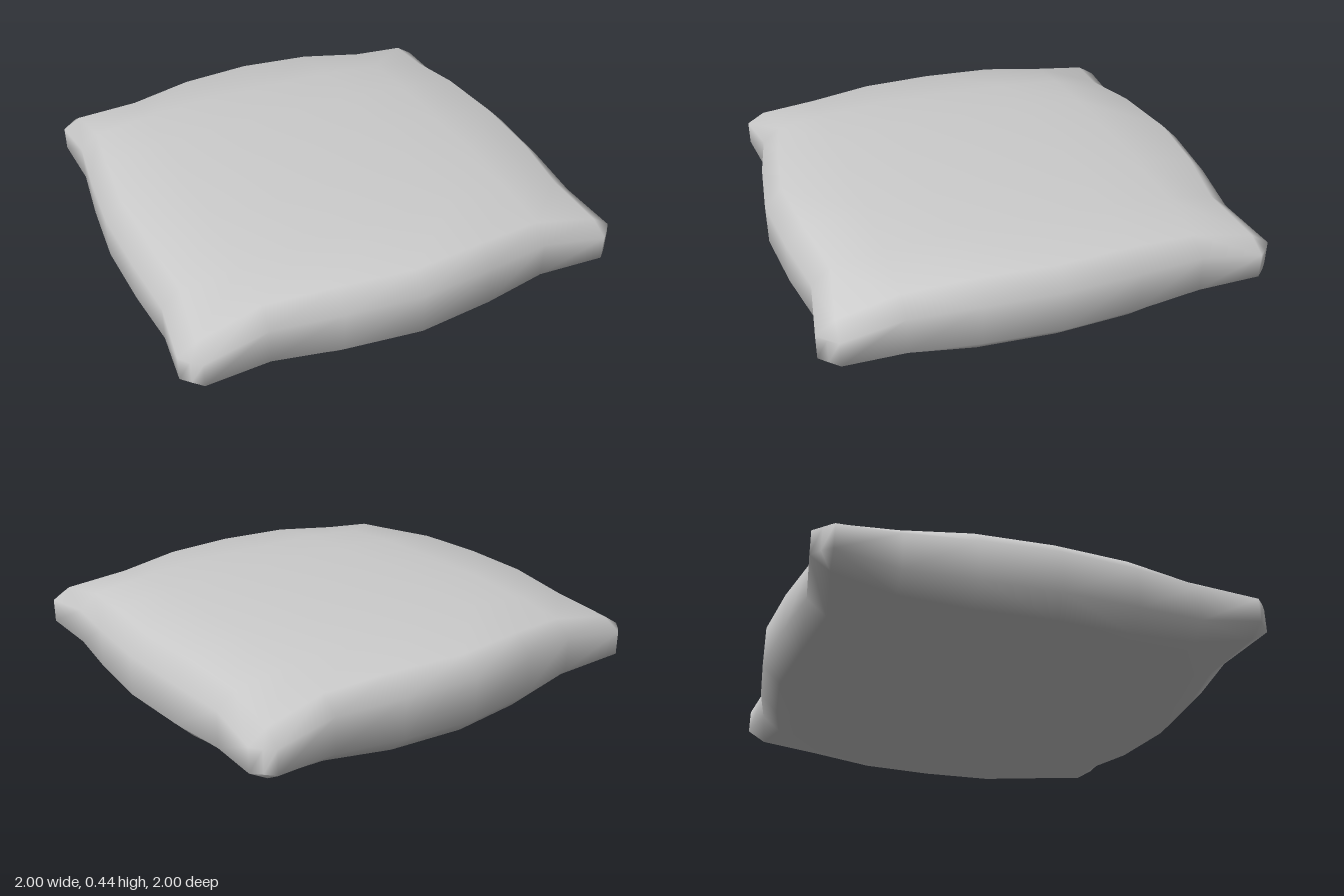
import * as THREE from 'three';
import { mergeVertices } from 'three/addons/utils/BufferGeometryUtils.js';

// All tables run from the middle of a side (0) to its corner (4).
const MID = 0.2175;
const columns = [0, 0.33, 0.62];
const rimX = [1, 0.98, 0.95, 0.975, 0.94];
const rimZ = [1, 0.965, 0.915, 0.955, 0.92];
const innerX = [0.92, 0.9, 0.87, 0.895, 0.9];
const innerZ = [0.92, 0.885, 0.835, 0.875, 0.88];
const rimHeight = [0.09, 0.087, 0.078, 0.053, 0.05];
const drop = [0, 0, 0.02, 0.05];

// Distance from the centre of a grid line, bowed where it nears the rim
function spread(line, along, rim, inner) {
  if (line === 4) return rim[along];
  if (line === 3) return inner[along];
  return columns[line];
}

// Half thickness: domed on top, thin at the rim and corners
function halfThickness(i, k) {
  if (i === 4) return rimHeight[k];
  if (k === 4) return rimHeight[i];
  return MID - drop[i] - drop[k] - 6 * drop[i] * drop[k];
}

export function createModel() {
  const group = new THREE.Group();
  group.name = 'cushion';

  // A gridded box whose points are moved to the pillow shape
  let geometry = new THREE.BoxGeometry(8, 2, 8, 8, 1, 8);
  geometry.deleteAttribute('normal');
  geometry.deleteAttribute('uv');
  geometry = mergeVertices(geometry);
  const p = geometry.attributes.position;
  for (let n = 0; n < p.count; n++) {
    const gx = Math.round(p.getX(n));
    const gz = Math.round(p.getZ(n));
    const i = Math.abs(gx), k = Math.abs(gz);
    p.setXYZ(
      n,
      Math.sign(gx) * spread(i, k, rimX, innerX),
      MID + Math.sign(p.getY(n)) * halfThickness(i, k),
      Math.sign(gz) * spread(k, i, rimZ, innerZ)
    );
  }
  geometry.computeVertexNormals();

  const pillow = new THREE.Mesh(geometry, new THREE.MeshStandardMaterial({ color: 0xcccccc }));
  pillow.name = 'pillow';
  group.add(pillow);
  return group;
}
